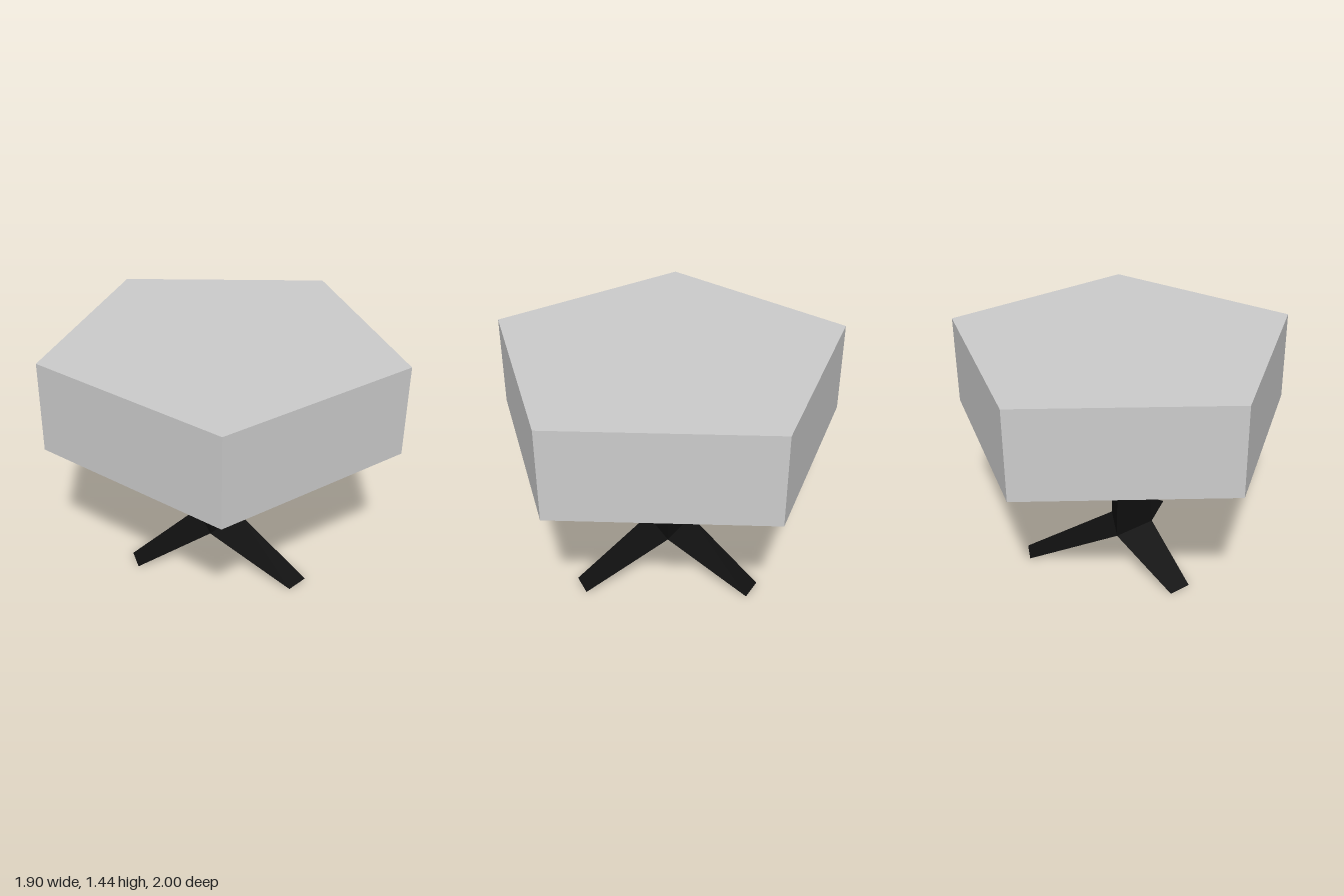
import * as THREE from 'three';

const CX = 0.1, TOP = 1.44, SHADE_BOTTOM = 0.9, LEG_TOP = 0.205;

const shadeMat = new THREE.MeshStandardMaterial({ color: 0xcccccc, flatShading: true, side: THREE.DoubleSide });
const blackMat = new THREE.MeshStandardMaterial({ color: 0x0f0f0f, flatShading: true, side: THREE.DoubleSide });

// flat polygons, each a counter-clockwise list of corners, split into triangle fans
function polygons(name, faces, material) {
  const pos = [];
  for (const f of faces)
    for (let i = 1; i < f.length - 1; i++) pos.push(...f[0], ...f[i], ...f[i + 1]);
  const geo = new THREE.BufferGeometry();
  geo.setAttribute('position', new THREE.Float32BufferAttribute(pos, 3));
  geo.computeVertexNormals();
  const mesh = new THREE.Mesh(geo, material);
  mesh.name = name;
  return mesh;
}

// triangular cross-section of the stem, half as wide as w in x
const triangle = (w, y) => [[CX + w, y, 0], [CX - w, y, -1.155 * w], [CX - w, y, 1.155 * w]];

export function createModel() {
  const model = new THREE.Group();
  model.name = 'lamp';

  // five-sided shade, open underneath
  const shade = new THREE.Group();
  shade.name = 'shade';
  const R = 1.05, start = -Math.PI / 2, h = TOP - SHADE_BOTTOM;
  const walls = new THREE.Mesh(new THREE.CylinderGeometry(R, R, h, 5, 1, true, start), shadeMat);
  walls.name = 'shadeWalls';
  walls.position.set(CX, SHADE_BOTTOM + h / 2, 0);
  const lid = new THREE.Mesh(new THREE.CircleGeometry(R, 5, Math.PI).rotateX(-Math.PI / 2), shadeMat);
  lid.name = 'shadeTop';
  lid.position.set(CX, TOP, 0);
  shade.add(walls, lid);
  model.add(shade);

  // tapered three-sided stem reaching up to the shade top
  const low = triangle(0.118, LEG_TOP), high = triangle(0.069, TOP);
  const sides = [0, 1, 2].map(i => {
    const j = (i + 1) % 3;
    return [low[i], low[j], high[j], high[i]];
  });
  model.add(polygons('stem', [...sides, [low[2], low[1], low[0]]], blackMat));

  // thin sloping legs, one below each stem face
  const tips = [
    [[0.48, 0, -0.475], [0.355, 0, -0.54]],
    [[-0.46, 0, -0.07], [-0.46, 0, 0.07]],
    [[0.355, 0, 0.54], [0.48, 0, 0.475]],
  ];
  tips.forEach(([a, b], i) => {
    model.add(polygons('leg' + (i + 1), [[a, b, low[(i + 1) % 3], low[i]]], blackMat));
  });

  return model;
}
